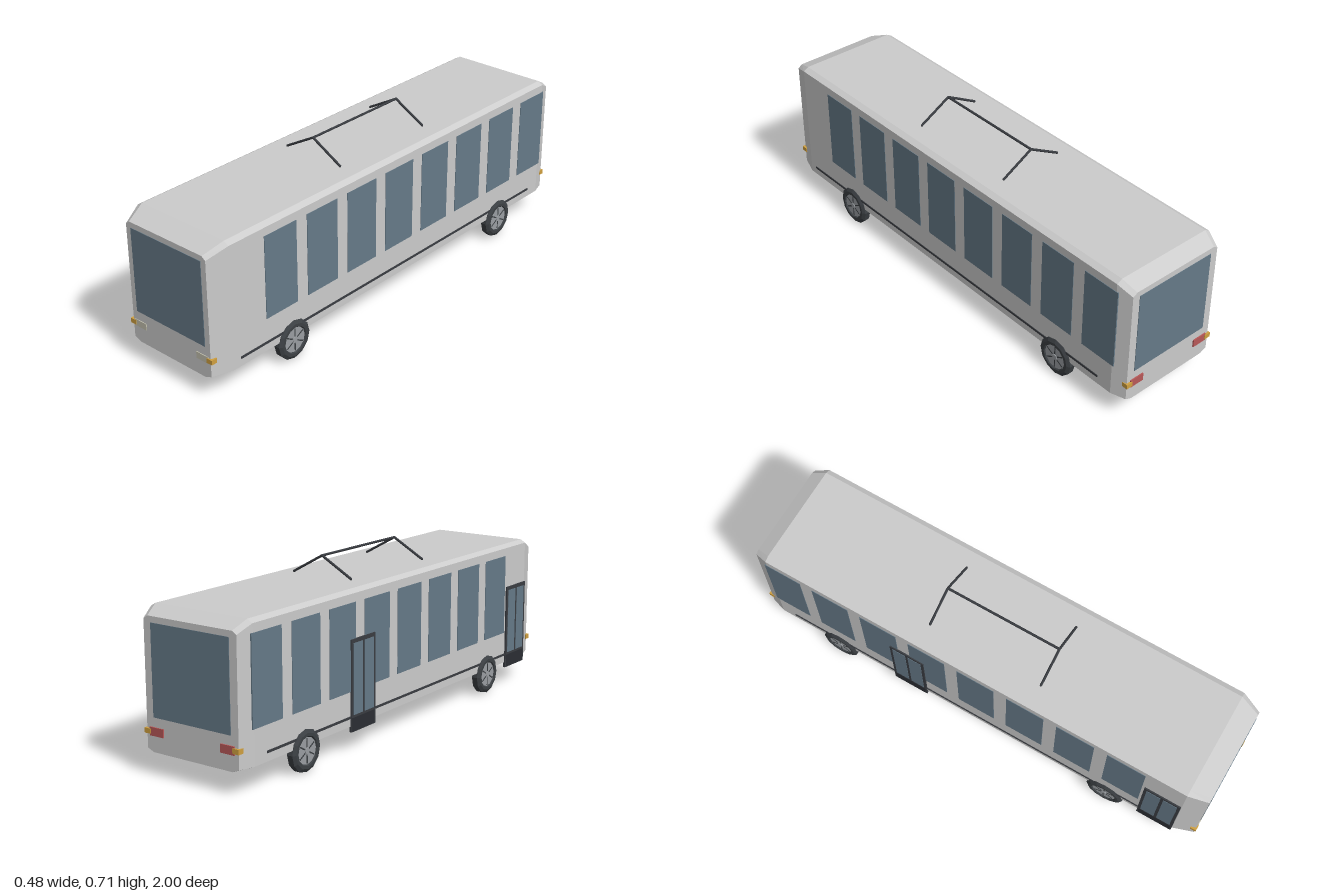
import * as THREE from 'three';

const mat = (color, flatShading = false) => new THREE.MeshStandardMaterial({ color, flatShading });
const grey = mat(0xcccccc, true);
const glass = mat(0x667a88);
const dark = mat(0x3a3d42);
const darker = mat(0x2b2e33);
const tyreMat = mat(0x3c4044, true);
const rimMat = mat(0x9a9ea2, true);
const headMat = mat(0xc4c2b0);
const amber = mat(0xd0a040);
const red = mat(0xb85858);

function add(parent, name, geometry, material, x = 0, y = 0, z = 0) {
  const mesh = new THREE.Mesh(geometry, material);
  mesh.name = name;
  mesh.position.set(x, y, z);
  parent.add(mesh);
  return mesh;
}

// Box given by its limits on each axis
function block(parent, name, material, x0, x1, y0, y1, z0, z1) {
  return add(parent, name, new THREE.BoxGeometry(x1 - x0, y1 - y0, z1 - z0), material,
    (x0 + x1) / 2, (y0 + y1) / 2, (z0 + z1) / 2);
}

// Shell lofted through mirrored half-sections, ordered from back to front
function loft(sections) {
  const rings = sections.map(({ z, half }) => [
    ...half.map(([x, y]) => [x, y, z]),
    ...half.slice().reverse().map(([x, y]) => [-x, y, z]),
  ]);
  const n = rings[0].length;
  const pos = [];
  const tri = (a, b, c) => pos.push(...a, ...b, ...c);
  for (let r = 0; r < rings.length - 1; r++) {
    for (let i = 0; i < n; i++) {
      const j = (i + 1) % n;
      const [a, b, c, d] = [rings[r][i], rings[r][j], rings[r + 1][j], rings[r + 1][i]];
      tri(a, b, c);
      tri(a, c, d);
    }
  }
  const back = rings[0], front = rings[rings.length - 1];
  for (let i = 1; i < n - 1; i++) {
    tri(front[0], front[i], front[i + 1]);
    tri(back[0], back[i + 1], back[i]);
  }
  const geometry = new THREE.BufferGeometry();
  geometry.setAttribute('position', new THREE.Float32BufferAttribute(pos, 3));
  geometry.computeVertexNormals();
  return geometry;
}

// Straight bar between two points
function bar(parent, name, a, b, radius) {
  const path = new THREE.LineCurve3(new THREE.Vector3(...a), new THREE.Vector3(...b));
  const group = new THREE.Group();
  group.name = name;
  add(group, name + 'Rod', new THREE.TubeGeometry(path, 1, radius, 6), dark);
  for (const p of [a, b]) add(group, name + 'Cap', new THREE.SphereGeometry(radius, 6, 4), dark, ...p);
  parent.add(group);
}

function makeWheel() {
  const wheel = new THREE.Group();
  wheel.name = 'wheel';
  const profile = [[0.052, -0.015], [0.056, -0.02], [0.068, -0.02], [0.081, -0.012],
    [0.081, 0.012], [0.068, 0.02], [0.056, 0.02], [0.052, 0.015]];
  const tyre = new THREE.LatheGeometry(profile.map(p => new THREE.Vector2(...p)), 12);
  add(wheel, 'tyre', tyre.rotateZ(Math.PI / 2), tyreMat);
  add(wheel, 'rim', new THREE.CylinderGeometry(0.053, 0.053, 0.03, 12).rotateZ(Math.PI / 2), rimMat);
  add(wheel, 'hub', new THREE.CylinderGeometry(0.012, 0.012, 0.036, 8).rotateZ(Math.PI / 2), rimMat);
  // Dark slots between the spokes
  for (let i = 0; i < 6; i++) {
    const slot = new THREE.BoxGeometry(0.032, 0.034, 0.005).translate(0, 0.031, 0);
    add(wheel, 'spokeSlot', slot.rotateX(i * Math.PI / 3), tyreMat);
  }
  return wheel;
}

function makeDoor(z0, z1) {
  const door = new THREE.Group();
  door.name = 'door';
  const mid = (z0 + z1) / 2;
  block(door, 'doorFrame', dark, -0.236, -0.226, 0.08, 0.435, z0, z1);
  block(door, 'doorFoot', darker, -0.237, -0.228, 0.082, 0.135, z0 + 0.006, z1 - 0.006);
  for (const [a, b] of [[z0 + 0.012, mid - 0.006], [mid + 0.006, z1 - 0.012]]) {
    block(door, 'doorGlass', glass, -0.2375, -0.23, 0.145, 0.42, a, b);
  }
  return door;
}

export function createModel() {
  const model = new THREE.Group();
  model.name = 'trolleybus';

  // Body with chamfered roof edges and tapered ends
  const full = [[0.2, 0.09], [0.23, 0.102], [0.23, 0.605], [0.208, 0.618]];
  add(model, 'body', loft([
    { z: -0.992, half: [[0.182, 0.09], [0.211, 0.102], [0.211, 0.574], [0.192, 0.586]] },
    { z: -0.932, half: full },
    { z: 0.912, half: full },
    { z: 0.995, half: [[0.17, 0.09], [0.202, 0.102], [0.202, 0.572], [0.185, 0.585]] },
  ]), grey);

  // Windscreen and rear window
  block(model, 'windscreen', glass, -0.178, 0.178, 0.22, 0.563, 0.985, 0.997);
  block(model, 'rearWindow', glass, -0.178, 0.178, 0.22, 0.563, -0.994, -0.98);

  for (const s of [-1, 1]) {
    const side = (name, material, x0, x1, ...rest) =>
      block(model, name, material, Math.min(s * x0, s * x1), Math.max(s * x0, s * x1), ...rest);

    // Side windows and trim strip
    for (let i = 0; i < 8; i++) {
      const z = 0.663 - i * 0.2175;
      side('sideWindow', glass, 0.22, 0.232, 0.236, 0.572, z - 0.081, z + 0.081);
    }
    side('trimStrip', dark, 0.22, 0.233, 0.133, 0.142, -0.866, 0.876);

    // Lamps at both ends
    side('headlight', headMat, 0.132, 0.192, 0.155, 0.182, 0.98, 0.998);
    side('frontIndicator', amber, 0.186, 0.213, 0.159, 0.178, 0.975, 1);
    side('tailLight', red, 0.132, 0.195, 0.152, 0.184, -0.997, -0.98);
    side('rearIndicator', amber, 0.189, 0.217, 0.159, 0.178, -1, -0.975);

    // Wheels
    for (const z of [0.606, -0.648]) {
      const wheel = makeWheel();
      wheel.position.set(s * 0.22, 0.083, z);
      model.add(wheel);
    }
  }

  // Doors on the right-hand side
  model.add(makeDoor(0.755, 0.91), makeDoor(-0.378, -0.225));

  // Roof current collector: long rod with a pair of sloping arms at each end
  const collector = new THREE.Group();
  collector.name = 'currentCollector';
  bar(collector, 'ridgeRod', [0, 0.702, -0.242], [0, 0.702, 0.242], 0.005);
  for (const z of [-0.242, 0.242]) {
    for (const s of [-1, 1]) bar(collector, 'slopingArm', [0, 0.702, z], [s * 0.135, 0.627, z], 0.005);
  }
  model.add(collector);

  return model;
}
